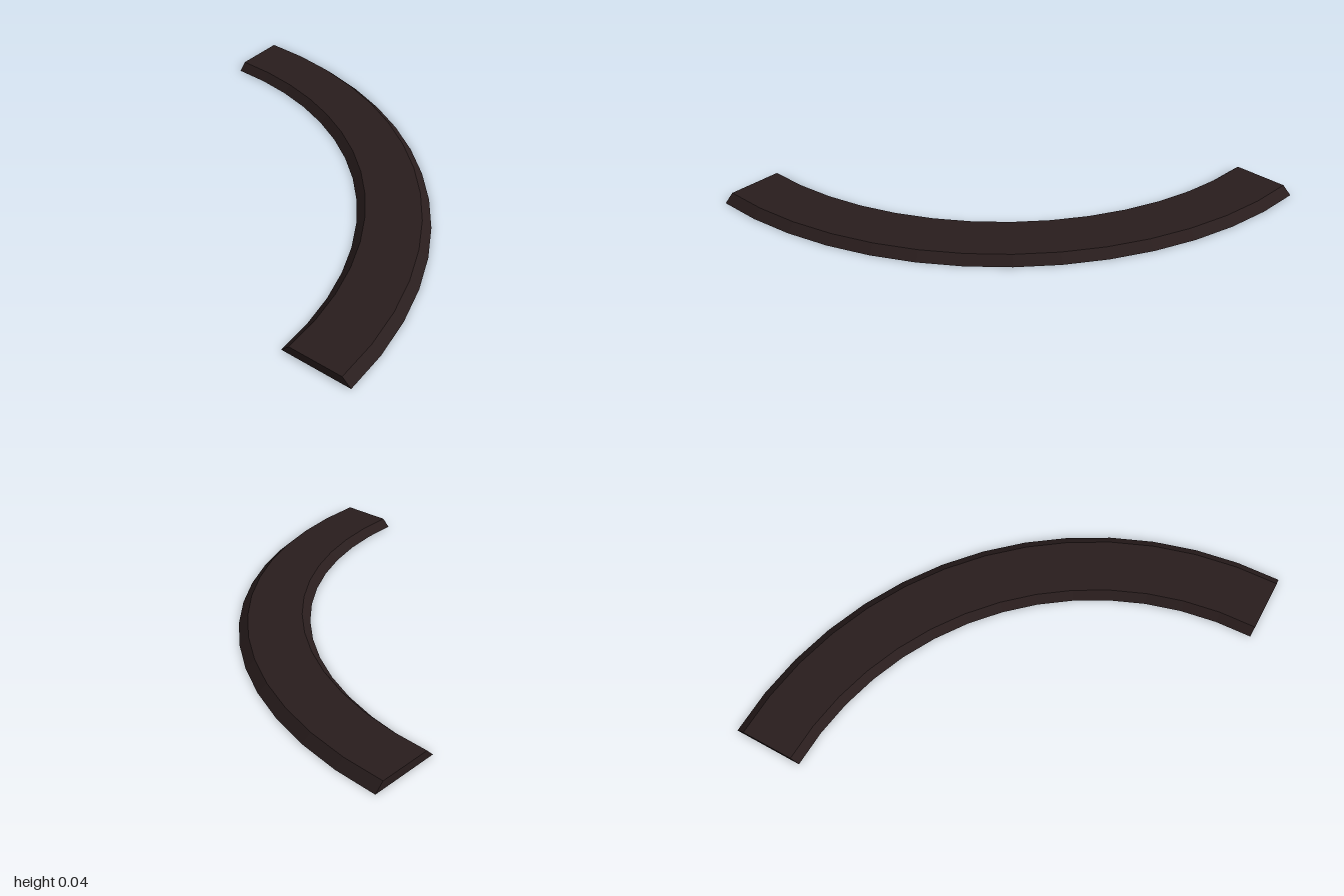
import * as THREE from 'three';

// Bevelled cross-section as [radius, height], open along the underside
const PROFILE = [[2, 0], [1.955, 0.04], [1.685, 0.04], [1.645, 0]];
const SEGMENTS = 14;

export function createModel() {
  const group = new THREE.Group();
  group.name = 'curvedTrack';
  const material = new THREE.MeshStandardMaterial({ color: 0x291d1d, side: THREE.DoubleSide });
  material.name = 'dark brown';

  const add = (name, geometry) => {
    const mesh = new THREE.Mesh(geometry, material);
    mesh.name = name;
    mesh.position.set(-1, 0, 1); // centre of the arc
    group.add(mesh);
  };

  // Quarter-circle shell with flat facets: outer bevel, top and inner bevel
  const section = PROFILE.map(([r, y]) => new THREE.Vector2(r, y));
  const shell = new THREE.LatheGeometry(section, SEGMENTS, Math.PI / 2, Math.PI / 2).toNonIndexed();
  shell.computeVertexNormals();
  add('curvedShell', shell);

  // Flat caps closing the two cut ends
  const cap = (side) => new THREE.ShapeGeometry(
    new THREE.Shape(PROFILE.map(([r, y]) => new THREE.Vector2(side * r, y))));
  add('frontEndCap', cap(1));
  add('backEndCap', cap(-1).rotateY(-Math.PI / 2));

  return group;
}
